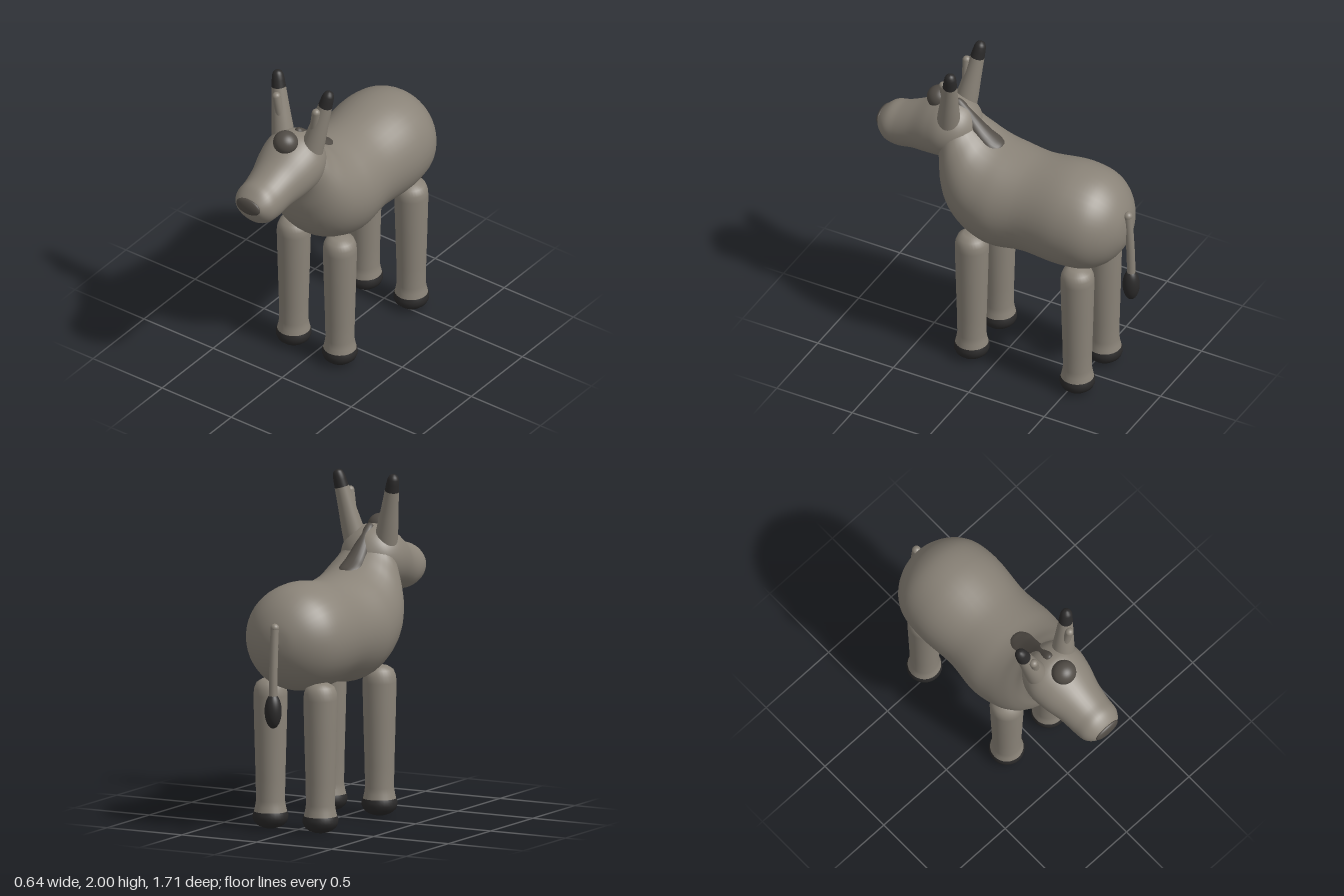
import * as THREE from 'three';

const mat = (name, color) => new THREE.MeshStandardMaterial({ name, color });

// Skin over elliptical sections, ordered back to front: [topZ, topY, bottomZ, bottomY, halfWidth]
function loft(sections, steps = 48, sides = 40) {
  const top = new THREE.CatmullRomCurve3(sections.map(s => new THREE.Vector3(s[4], s[1], s[0])));
  const bottom = new THREE.CatmullRomCurve3(sections.map(s => new THREE.Vector3(s[4], s[3], s[2])));
  const pos = [], index = [];
  for (let i = 0; i <= steps; i++) {
    const a = top.getPoint(i / steps), b = bottom.getPoint(i / steps);
    const w = Math.max(0, (a.x + b.x) / 2);
    const cy = (a.y + b.y) / 2, cz = (a.z + b.z) / 2;
    for (let j = 0; j < sides; j++) {
      const t = (j / sides) * Math.PI * 2, c = Math.cos(t);
      pos.push(Math.sin(t) * w, cy + (a.y - cy) * c, cz + (a.z - cz) * c);
      if (i === steps) continue;
      const k = i * sides, n = (j + 1) % sides;
      index.push(k + j, k + sides + j, k + n, k + n, k + sides + j, k + sides + n);
    }
  }
  const g = new THREE.BufferGeometry();
  g.setAttribute('position', new THREE.Float32BufferAttribute(pos, 3));
  g.setIndex(index);
  g.computeVertexNormals();
  return g;
}

// Upright section at z
const ring = (z, top, bottom, w) => [z, top, z, bottom, w];

const lathe = pts => new THREE.LatheGeometry(pts.map(p => new THREE.Vector2(p[0], p[1])), 32);

export function createModel() {
  const model = new THREE.Group();
  const coat = mat('coat', 0x8a8378);
  const mane = mat('mane', 0x514c46);
  const dark = mat('dark', 0x2b2a2a);

  const add = (name, geo, material, parent = model) => {
    const m = new THREE.Mesh(geo, material);
    m.name = name;
    parent.add(m);
    return m;
  };
  const ball = (name, material, [x, y, z], [rx, ry, rz], parent) => {
    const m = add(name, new THREE.SphereGeometry(1, 32, 20), material, parent);
    m.position.set(x, y, z);
    m.scale.set(rx, ry, rz);
    return m;
  };

  // Rump, belly, chest and neck; the sections fan upward into the neck
  add('body', loft([
    ring(-0.79, 1.14, 1.14, 0),
    ring(-0.77, 1.253, 1.027, 0.113),
    ring(-0.70, 1.366, 0.914, 0.226),
    ring(-0.60, 1.435, 0.845, 0.295),
    ring(-0.44, 1.46, 0.82, 0.32),
    ring(-0.18, 1.43, 0.828, 0.302),
    [0.00, 1.445, 0.02, 0.803, 0.32],
    [0.07, 1.46, 0.14, 0.83, 0.313],
    [0.13, 1.485, 0.26, 0.90, 0.297],
    [0.18, 1.52, 0.35, 1.01, 0.268],
    [0.22, 1.55, 0.40, 1.15, 0.23],
    [0.27, 1.60, 0.42, 1.28, 0.185],
    [0.32, 1.63, 0.45, 1.32, 0.15],
    [0.42, 1.48, 0.42, 1.48, 0],
  ], 78), coat);

  // Head tapering into a rounded muzzle
  add('head', loft([
    ring(0.20, 1.49, 1.49, 0),
    ring(0.22, 1.57, 1.41, 0.085),
    ring(0.28, 1.645, 1.335, 0.16),
    ring(0.38, 1.68, 1.295, 0.195),
    ring(0.48, 1.645, 1.283, 0.185),
    ring(0.60, 1.575, 1.27, 0.153),
    ring(0.70, 1.53, 1.25, 0.14),
    ring(0.77, 1.51, 1.265, 0.132),
    ring(0.815, 1.475, 1.31, 0.105),
    ring(0.838, 1.445, 1.355, 0.07),
    ring(0.845, 1.40, 1.40, 0),
  ], 60), coat);
  ball('nose', mane, [0, 1.407, 0.833], [0.085, 0.052, 0.022]);
  ball('forelock', mane, [0, 1.658, 0.467], [0.074, 0.07, 0.072]);

  // Mane running up the back of the neck
  add('mane', loft([
    [0.035, 1.435, 0.035, 1.425, 0],
    [0.05, 1.46, 0.06, 1.40, 0.05],
    [0.09, 1.485, 0.11, 1.40, 0.072],
    [0.14, 1.52, 0.18, 1.42, 0.068],
    [0.21, 1.582, 0.26, 1.48, 0.055],
    [0.27, 1.64, 0.31, 1.54, 0.042],
    [0.34, 1.69, 0.36, 1.60, 0.03],
    [0.37, 1.66, 0.37, 1.64, 0],
  ], 36, 24), mane);

  for (const s of [1, -1]) {
    const side = s > 0 ? 'left' : 'right';

    // Ear: coat shaft, dark tip and a small inner lobe in front
    const ear = new THREE.Group();
    ear.name = side + 'Ear';
    const base = new THREE.Vector3(0.11 * s, 1.62, 0.345);
    const dir = new THREE.Vector3(0.19 * s, 2.0, 0.29).sub(base).normalize();
    ear.position.copy(base);
    ear.quaternion.setFromUnitVectors(new THREE.Vector3(0, 1, 0), dir);
    add('earShaft', lathe([[0.07, -0.06], [0.065, 0.03], [0.056, 0.12], [0.048, 0.21], [0.042, 0.285]]), coat, ear);
    add('earTip', lathe([[0.042, 0.285], [0.038, 0.33], [0.034, 0.36], [0.026, 0.378], [0.014, 0.387], [0, 0.39]]), dark, ear);
    model.add(ear);
    const lobe = add(side + 'InnerEar', new THREE.CapsuleGeometry(0.025, 0.19, 8, 16), coat);
    lobe.position.set(0.128 * s, 1.775, 0.357);
    lobe.rotation.set(0.06, 0, -0.16 * s);

    // Legs with domed tops and rounded hooves
    for (const [end, z] of [['front', 0.16], ['back', -0.54]]) {
      const leg = new THREE.Group();
      leg.name = side + end[0].toUpperCase() + end.slice(1) + 'Leg';
      leg.position.set(0.167 * s, 0, z);
      add('leg', lathe([[0.098, 0.10], [0.09, 0.135], [0.085, 0.17], [0.087, 0.3], [0.094, 0.55],
        [0.1, 0.79], [0.096, 0.83], [0.082, 0.865], [0.05, 0.886], [0, 0.892]]), coat, leg);
      add('hoof', lathe([[0, 0.003], [0.035, 0.006], [0.07, 0.019], [0.094, 0.04], [0.104, 0.065],
        [0.104, 0.085], [0.098, 0.104]]), dark, leg);
      model.add(leg);
    }
  }

  // Hanging tail with a dark tuft
  const tailPath = new THREE.CatmullRomCurve3([
    new THREE.Vector3(0, 1.235, -0.785), new THREE.Vector3(0, 1.1, -0.795),
    new THREE.Vector3(0, 0.95, -0.803), new THREE.Vector3(0, 0.8, -0.806),
  ]);
  add('tail', new THREE.TubeGeometry(tailPath, 20, 0.025, 16), coat);
  ball('tailRoot', coat, [0, 1.235, -0.785], [0.026, 0.026, 0.026]);
  ball('tailTuft', dark, [0, 0.748, -0.805], [0.05, 0.103, 0.05]);

  return model;
}
